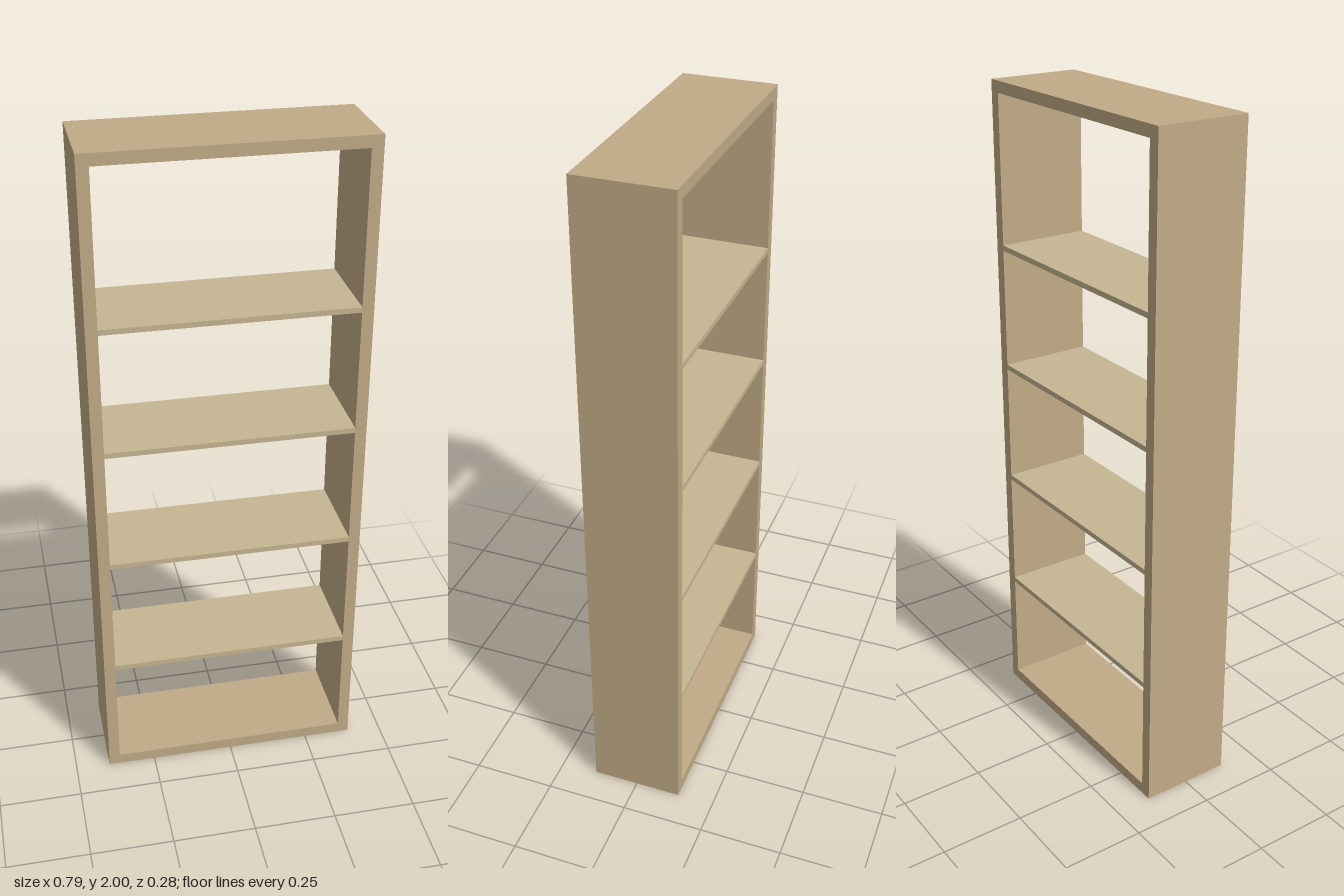
import * as THREE from 'three';

const WIDTH = 0.79, HEIGHT = 2, DEPTH = 0.277, BOARD = 0.034, SHELF = 0.016;

export function createModel() {
  const group = new THREE.Group();
  group.name = 'openBookcase';
  const frameWood = new THREE.MeshStandardMaterial({ color: 0xc0ab86 });
  const shelfWood = new THREE.MeshStandardMaterial({ color: 0xc6b692 });

  // Outer frame: one rectangle with a rectangular opening, open front and back
  const x = WIDTH / 2, ix = x - BOARD, top = HEIGHT - BOARD;
  const outline = new THREE.Shape([
    new THREE.Vector2(-x, 0), new THREE.Vector2(x, 0),
    new THREE.Vector2(x, HEIGHT), new THREE.Vector2(-x, HEIGHT),
  ]);
  outline.holes.push(new THREE.Path([
    new THREE.Vector2(-ix, BOARD), new THREE.Vector2(-ix, top),
    new THREE.Vector2(ix, top), new THREE.Vector2(ix, BOARD),
  ]));
  const frameGeometry = new THREE.ExtrudeGeometry(outline, { depth: DEPTH, bevelEnabled: false });
  frameGeometry.translate(0, 0, -DEPTH / 2);
  const frame = new THREE.Mesh(frameGeometry, frameWood);
  frame.name = 'frame';
  group.add(frame);

  // Four thin shelves, evenly spaced
  const shelfGeometry = new THREE.BoxGeometry(ix * 2, SHELF, DEPTH);
  for (let i = 0; i < 4; i++) {
    const shelf = new THREE.Mesh(shelfGeometry, shelfWood);
    shelf.name = `shelf${i + 1}`;
    shelf.position.y = 0.389 + i * 0.376;
    group.add(shelf);
  }
  return group;
}
